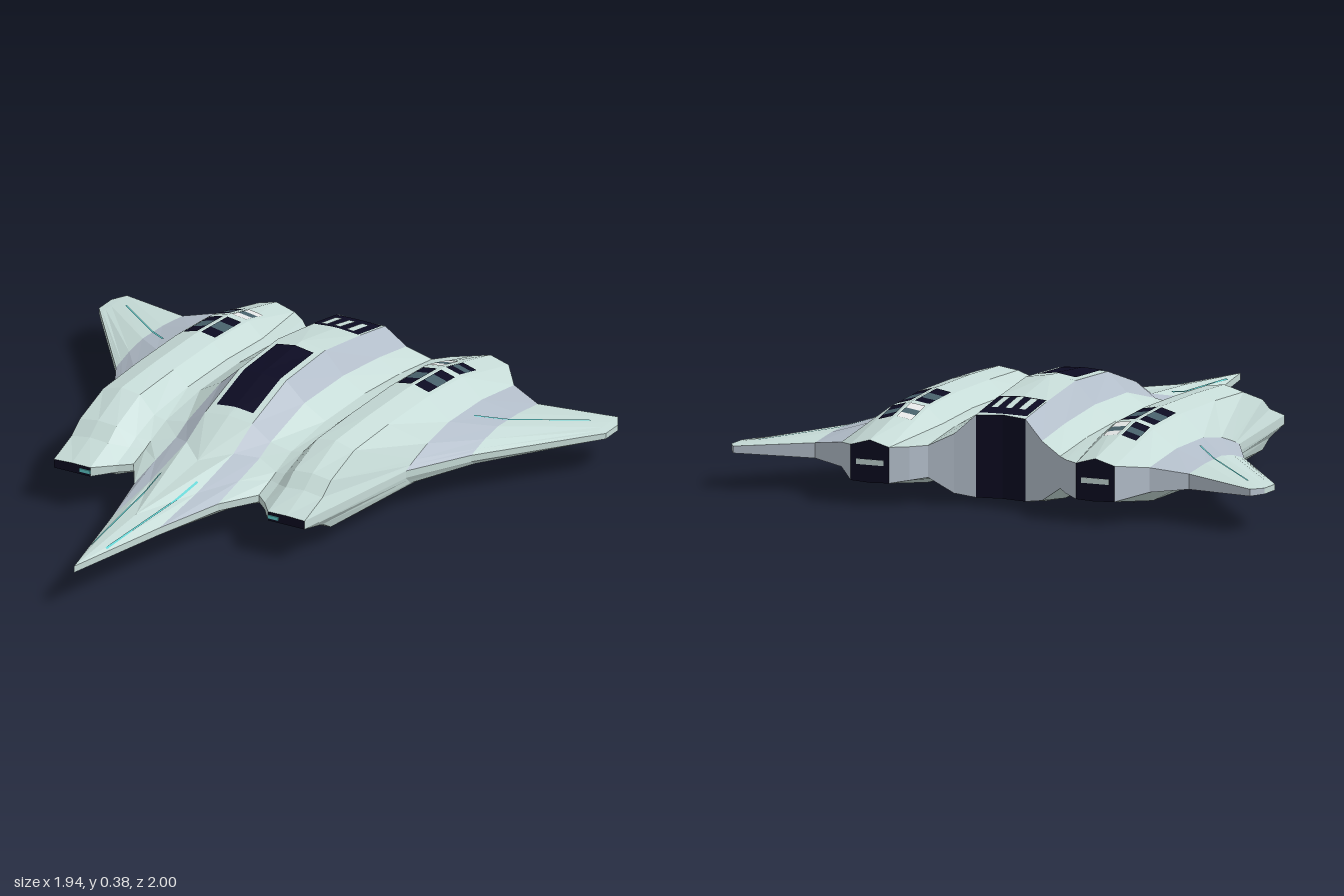
import * as THREE from 'three';

const mat = (name, color, side = THREE.FrontSide) => {
  const m = new THREE.MeshStandardMaterial({ color, side });
  m.name = name;
  return m;
};

// Ribs from centreline to wing tip: x, front z, back z, keel y, top heights front to back
const RIBS = [
  [0, 1, -0.845, 0.005, [0.148, 0.178, 0.215, 0.3, 0.365, 0.384, 0.342, 0.31]],
  [0.09, 0.6, -0.86, 0.005, [0.15, 0.18, 0.23, 0.29, 0.36, 0.37, 0.335, 0.305]],
  [0.16, 0.34, -0.88, 0.02, [0.15, 0.18, 0.21, 0.24, 0.295, 0.295, 0.27, 0.24]],
  [0.24, 0.21, -0.91, 0.06, [0.15, 0.175, 0.19, 0.225, 0.248, 0.248, 0.23, 0.2]],
  [0.285, 0.25, -0.96, 0.05, [0.15, 0.18, 0.2, 0.235, 0.25, 0.25, 0.235, 0.2]],
  [0.34, 0.32, -1, 0.034, [0.157, 0.2, 0.24, 0.295, 0.3, 0.3, 0.285, 0.2]],
  [0.41, 0.32, -1, 0.028, [0.158, 0.205, 0.245, 0.305, 0.312, 0.312, 0.295, 0.22]],
  [0.48, 0.32, -1, 0.036, [0.155, 0.195, 0.235, 0.285, 0.292, 0.292, 0.275, 0.2]],
  [0.56, -0.2, -0.9, 0.08, [0.15, 0.155, 0.16, 0.17, 0.195, 0.218, 0.215, 0.185]],
  [0.68, -0.42, -0.85, 0.102, [0.148, 0.15, 0.153, 0.158, 0.172, 0.185, 0.18, 0.165]],
  [0.94, -0.76, -0.93, 0.122, [0.146, 0.147, 0.147, 0.148, 0.149, 0.15, 0.149, 0.147]],
  [0.97, -0.8, -0.88, 0.125, [0.145, 0.145, 0.145, 0.145, 0.145, 0.145, 0.145, 0.145]],
];
const KEEL_RISE = [1, 0.7, 0.35, 0.18, 0, 0, 0];
const WING_STEPS = [0, 0.02, 0.04, 0.08, 0.2, 0.4, 0.7, 1];

function makeRib([x, zf, zb, keel, tops]) {
  const z = x > 0.5
    ? WING_STEPS.map((t) => zf + (zb - zf) * t)
    : [zf, zf * (x < 0.2 ? 0.6 : 0.64), zf * (x < 0.2 ? 0.2 : 0.47), 0, -0.22, -0.47, -0.7, zb];
  const rise = [...KEEL_RISE, x < 0.2 ? 0.2 : 0.5];
  return {
    x,
    top: z.map((v, j) => [x, tops[j], v]),
    bot: z.map((v, j) => [x, keel + (0.125 - keel) * rise[j], v]),
  };
}

function meshFrom(name, positions, material) {
  const g = new THREE.BufferGeometry();
  g.setAttribute('position', new THREE.Float32BufferAttribute(positions, 3));
  g.computeVertexNormals();
  const m = new THREE.Mesh(g, material);
  m.name = name;
  return m;
}

export function createModel() {
  const root = new THREE.Group();
  root.name = 'starfighter';
  const pale = mat('pale hull', 0xc6dbd7);
  const blue = mat('blue grey hull', 0xb2bdc9);
  const dark = mat('near black', 0x0c0b22);
  const teal = mat('slate teal', 0x47606a);
  const white = mat('white', 0xfafcfc);
  const cyan = mat('cyan light', 0x63d2d2);

  // Hull: quads between neighbouring ribs, mirrored to both sides
  const ribs = RIBS.map(makeRib);
  const skin = { pale: [], blue: [], dark: [] };
  const quad = (key, a, b, c, d) => {
    const flip = (p) => [-p[0], p[1], p[2]];
    for (const p of [a, b, c, a, c, d]) skin[key].push(...p);
    for (const p of [a, c, b, a, d, c]) skin[key].push(...flip(p));
  };
  const last = 7;
  for (let i = 0; i < ribs.length - 1; i++) {
    const p = ribs[i], q = ribs[i + 1];
    const nacelle = p.x >= 0.34 && q.x <= 0.48;
    const topKey = p.x === 0.09 || p.x === 0.56 ? 'blue' : 'pale';
    for (let j = 0; j < last; j++) {
      quad(topKey, p.top[j], q.top[j], q.top[j + 1], p.top[j + 1]);
      quad('pale', p.bot[j], p.bot[j + 1], q.bot[j + 1], q.bot[j]);
    }
    // intakes at the front, exhausts at the back
    quad(nacelle ? 'dark' : 'pale', p.top[0], p.bot[0], q.bot[0], q.top[0]);
    quad(nacelle || i === 0 ? 'dark' : 'blue', q.top[last], q.bot[last], p.bot[last], p.top[last]);
  }
  const tip = ribs[ribs.length - 1];
  for (let j = 0; j < last; j++) quad('pale', tip.top[j], tip.bot[j], tip.bot[j + 1], tip.top[j + 1]);

  const hull = new THREE.Group();
  hull.name = 'hull';
  hull.add(meshFrom('hullPlating', skin.pale, pale));
  hull.add(meshFrom('bluePlating', skin.blue, blue));
  hull.add(meshFrom('intakesAndExhausts', skin.dark, dark));
  root.add(hull);

  // Thin strip from a to b ([x, z] points) laid on the hull, above or below
  const ray = new THREE.Raycaster();
  function strip(name, material, a, b, width, { under = false, lift = 0.003 } = {}) {
    const s = under ? -1 : 1;
    const dx = b[0] - a[0], dz = b[1] - a[1], len = Math.hypot(dx, dz);
    const rx = -dz / len, rz = dx / len;
    const nu = Math.max(1, Math.ceil(width / 0.02)), nv = Math.max(2, Math.ceil(len / 0.02));
    const at = (u, v) => {
      const w = (u / nu - 0.5) * width, t = v / nv;
      const x = a[0] + dx * t + rx * w, z = a[1] + dz * t + rz * w;
      ray.set(new THREE.Vector3(x + 1e-4, 2 * s, z + 1e-4), new THREE.Vector3(0, -s, 0));
      const hit = ray.intersectObject(hull, true)[0];
      return [x, (hit ? hit.point.y : 0.14) + s * lift, z];
    };
    const pos = [];
    for (let u = 0; u < nu; u++) for (let v = 0; v < nv; v++) {
      const A = at(u, v), B = at(u + 1, v), C = at(u + 1, v + 1), D = at(u, v + 1);
      for (const p of under ? [A, C, B, A, D, C] : [A, B, C, A, C, D]) pos.push(...p);
    }
    root.add(meshFrom(name, pos, material));
  }

  // Canopy and rear engine deck with three slats
  strip('canopy', dark, [0, -0.04], [0, -0.43], 0.14);
  strip('engineDeck', dark, [0, -0.69], [0, -0.843], 0.174);
  for (const x of [-0.05, 0, 0.05]) strip('deckSlat', pale, [x, -0.7], [x, -0.8], 0.025, { lift: 0.006 });

  // Belly hatch
  strip('bellyHatch', blue, [0, -0.36], [0, -0.62], 0.17, { under: true });

  const plate = (name, material, x, y, z, w, h) => {
    const m = new THREE.Mesh(new THREE.BoxGeometry(w, h, 0.004), material);
    m.name = name;
    m.position.set(x, y, z);
    root.add(m);
  };

  for (const s of [-1, 1]) {
    // Vent pads on top of and below each nacelle
    for (const under of [false, true]) for (const x of [0.375, 0.443]) {
      const frame = x < 0.4 && !under ? white : dark;
      const vent = (m, z0, z1) => strip('nacelleVent', m, [s * x, z0], [s * x, z1], 0.053, { under });
      vent(dark, -0.5, -0.56);
      vent(teal, -0.56, -0.62);
      vent(dark, -0.62, -0.67);
      vent(frame, -0.7, -0.74);
      vent(teal, -0.74, -0.775);
      vent(frame, -0.775, -0.81);
    }
    // Light lines on wings and nose
    strip('wingLight', cyan, [s * 0.595, -0.58], [s * 0.89, -0.84], 0.007);
    strip('wingLightBelow', cyan, [s * 0.595, -0.58], [s * 0.89, -0.84], 0.007, { under: true });
    strip('noseLight', cyan, [s * 0.028, 0.84], [s * 0.07, 0.32], 0.007);
    // Intake lamp and exhaust glow bar
    plate('intakeLamp', cyan, s * 0.36, 0.14, 0.321, 0.04, 0.012);
    plate('exhaustBar', pale, s * 0.41, 0.145, -1, 0.1, 0.018);
  }
  return root;
}
